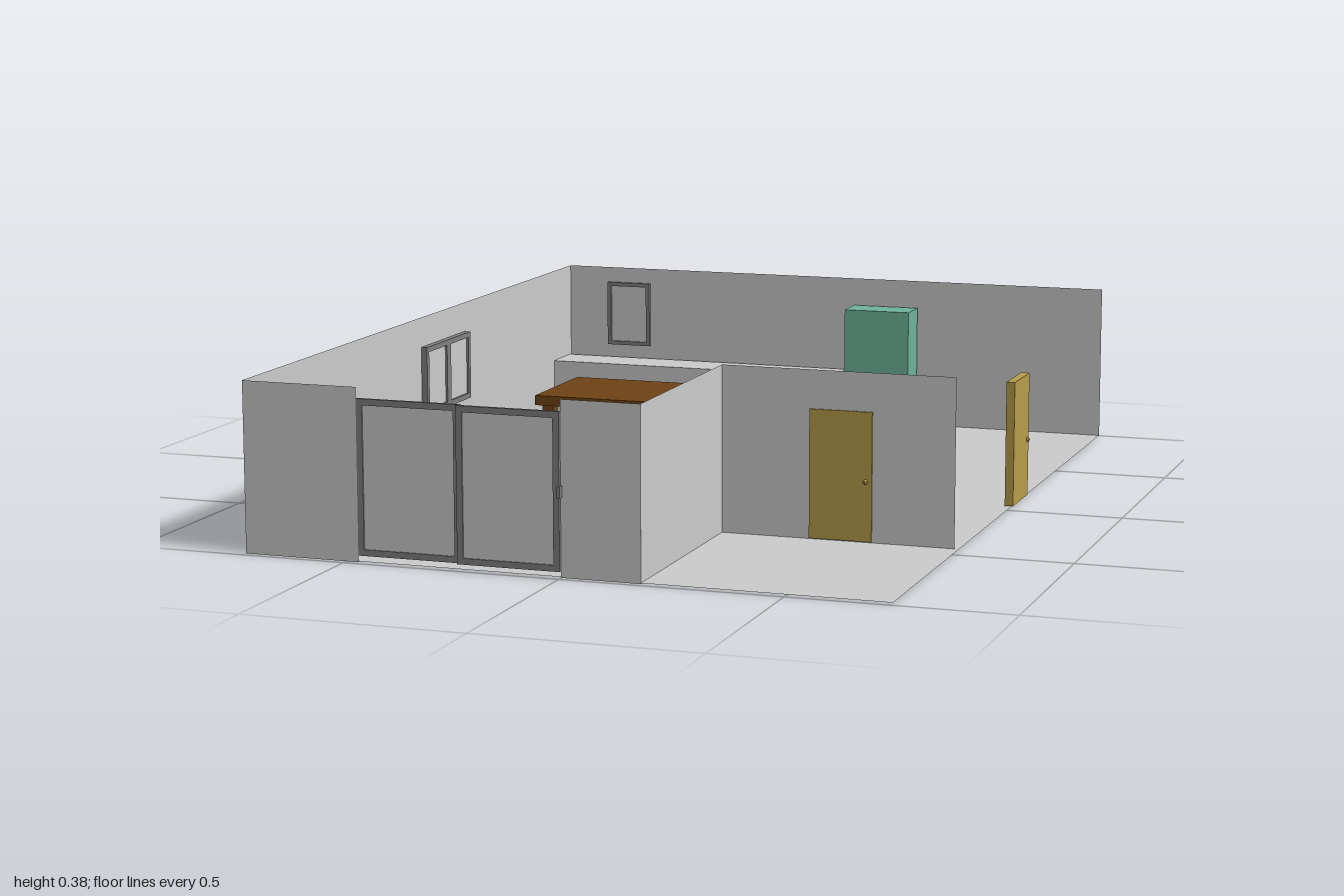
import * as THREE from 'three';

const mat = (color) => new THREE.MeshStandardMaterial({ color, flatShading: true, side: THREE.DoubleSide });

export function createModel() {
  const room = new THREE.Group();
  const grey = mat(0xcccccc), frameGrey = mat(0x808080), brown = mat(0x6f4316);
  const teal = mat(0x70b49a), olive = mat(0xb79c4a);

  const group = (name, parent = room) => {
    const g = new THREE.Group();
    g.name = name;
    parent.add(g);
    return g;
  };
  const add = (name, geometry, material, parent = room) => {
    const m = new THREE.Mesh(geometry, material);
    m.name = name;
    parent.add(m);
    return m;
  };
  // Box given by its limits on each axis
  const box = (name, material, [x0, x1], [y0, y1], [z0, z1], parent) =>
    add(name, new THREE.BoxGeometry(x1 - x0, y1 - y0, z1 - z0), material, parent)
      .position.set((x0 + x1) / 2, (y0 + y1) / 2, (z0 + z1) / 2);

  // Floor
  const X0 = -0.74, X1 = 0.73, Z0 = -0.993, Z1 = 0.985, H = 0.385;
  const floor = add('floor', new THREE.PlaneGeometry(X1 - X0, Z1 - Z0).rotateX(-Math.PI / 2), grey);
  floor.position.set((X0 + X1) / 2, 0.002, (Z0 + Z1) / 2);

  // Thin walls, each from one floor point to another
  const wall = (name, ax, az, bx, bz) => {
    const m = add(name, new THREE.PlaneGeometry(Math.hypot(bx - ax, bz - az), H), grey);
    m.position.set((ax + bx) / 2, H / 2, (az + bz) / 2);
    m.rotation.y = -Math.atan2(bz - az, bx - ax);
  };
  wall('backWall', X0, Z0, X1, Z0);
  wall('sideWall', X0, Z0, X0, Z1);
  wall('frontWallCorner', X0, Z1, -0.47, Z1);
  wall('frontWallEntry', 0, Z1, 0.18, Z1);
  wall('partitionSide', 0.18, Z1, 0.18, 0.45);
  wall('partitionFront', 0.18, 0.45, 0.72, 0.45);

  // Framed panel centred on its own origin, facing z
  const framedPanel = (name, w, h, bar, depth, parent) => {
    const g = group(name, parent);
    const s = new THREE.Shape([[-w, -h], [w, -h], [w, h], [-w, h]].map(([x, y]) => new THREE.Vector2(x / 2, y / 2)));
    const iw = w / 2 - bar, ih = h / 2 - bar;
    s.holes.push(new THREE.Path([[-iw, -ih], [-iw, ih], [iw, ih], [iw, -ih]].map(([x, y]) => new THREE.Vector2(x, y))));
    add('frame', new THREE.ExtrudeGeometry(s, { depth, bevelEnabled: false }).translate(0, 0, -depth / 2), frameGrey, g);
    add('pane', new THREE.BoxGeometry(iw * 2, ih * 2, depth * 0.3), grey, g);
    return g;
  };

  // Sliding door: two overlapping leaves
  const slidingDoor = group('slidingDoor');
  framedPanel('innerLeaf', 0.24, 0.345, 0.014, 0.009, slidingDoor).position.set(-0.35, 0.1875, 0.982);
  framedPanel('outerLeaf', 0.235, 0.345, 0.014, 0.009, slidingDoor).position.set(-0.1165, 0.1875, 0.992);
  box('handle', frameGrey, [-0.004, 0.004], [0.175, 0.2], [0.987, 1], slidingDoor);

  // Windows
  const sideWindow = group('sideWindow');
  sideWindow.position.set(-0.732, 0.228, -0.115);
  sideWindow.rotation.y = Math.PI / 2;
  for (const s of [-1, 1]) framedPanel('sash', 0.137, 0.168, 0.013, 0.015, sideWindow).position.x = s * 0.0675;
  framedPanel('backWindow', 0.12, 0.17, 0.01, 0.016).position.set(-0.57, 0.26, -0.992);

  // Doors with a small knob on each face
  const door = (name, x, z, turn) => {
    const g = group(name);
    box('leaf', olive, [-0.0725, 0.0725], [0.004, 0.297], [-0.01, 0.01], g);
    for (const s of [-1, 1]) {
      add('knob', new THREE.SphereGeometry(0.006, 8, 6), olive, g).position.set(0.058, 0.14, s * 0.011);
    }
    g.position.set(x, 0, z);
    g.rotation.y = turn;
  };
  door('partitionDoor', 0.458, 0.444, 0);
  door('sideDoor', 0.725, -0.103, Math.PI / 2);

  // Counter and fridge
  box('counter', grey, [X0, 0.045], [0.002, 0.142], [-0.982, -0.865]);
  box('fridge', teal, [0.067, 0.24], [0.015, 0.315], [-0.983, -0.895]);

  // Dining table
  const table = group('table');
  box('tableTop', brown, [-0.462, 0.01], [0.176, 0.2], [-0.315, -0.03], table);
  for (const x of [-0.435, -0.017]) {
    for (const z of [-0.286, -0.059]) {
      box('tableLeg', brown, [x - 0.014, x + 0.014], [0.018, 0.178], [z - 0.014, z + 0.014], table);
    }
  }

  // Stools
  for (const [x, z] of [[-0.293, -0.408], [-0.1, -0.408], [-0.318, 0.043], [-0.092, 0.043]]) {
    const stool = group('stool');
    stool.position.set(x, 0, z);
    box('seat', brown, [-0.052, 0.052], [0.136, 0.15], [-0.043, 0.043], stool);
    for (const i of [-1, 1]) {
      for (const k of [-1, 1]) {
        const lx = i * 0.041, lz = k * 0.035;
        box('stoolLeg', brown, [lx - 0.004, lx + 0.004], [0.062, 0.137], [lz - 0.004, lz + 0.004], stool);
      }
    }
  }

  // Sofa with a backrest leaning out over its base
  const sofa = group('sofa');
  sofa.position.set(-0.285, 0, 0.325);
  sofa.rotation.y = -0.865;
  const L = 0.305;
  box('sofaBase', teal, [0, L], [0, 0.08], [0.07, 0.255], sofa);
  const back = new THREE.Shape([[0.07, 0.08], [0.14, 0.08], [0.07, 0.17], [0, 0.17]].map((p) => new THREE.Vector2(...p)));
  add('backrest', new THREE.ExtrudeGeometry(back, { depth: L, bevelEnabled: false })
    .rotateY(-Math.PI / 2).translate(L, 0, 0), teal, sofa);
  for (const x of [0, L - 0.053]) box('armrest', teal, [x, x + 0.053], [0.08, 0.12], [0.14, 0.255], sofa);

  // Corner cabinet: triangular body with a front panel along its long side
  const cabinet = group('cornerCabinet');
  const prism = (name, points) => {
    const s = new THREE.Shape(points.map(([x, z]) => new THREE.Vector2(x, -z)));
    add(name, new THREE.ExtrudeGeometry(s, { depth: 0.12, bevelEnabled: false })
      .rotateX(-Math.PI / 2).translate(0, 0.002, 0), brown, cabinet);
  };
  prism('cabinetBody', [[-0.667, 0.785], [-0.665, 0.905], [-0.555, 0.912]]);
  prism('cabinetFront', [[-0.67, 0.745], [-0.668, 0.772], [-0.54, 0.913], [-0.515, 0.915]]);

  return room;
}
